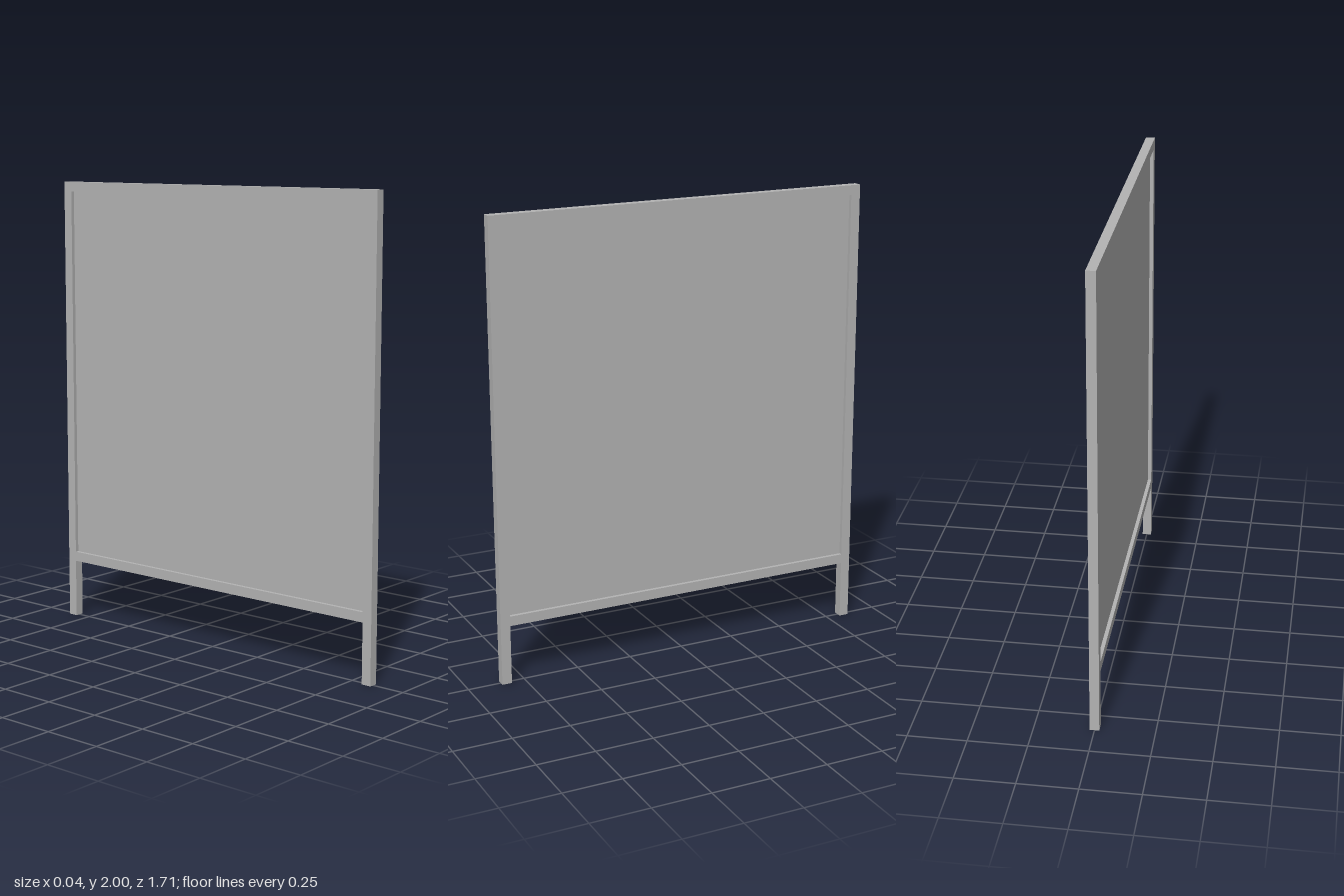
import * as THREE from 'three';

export function createModel() {
  const group = new THREE.Group();
  const grey = new THREE.MeshStandardMaterial({ color: 0xb3b3b3 });
  grey.name = 'grey';

  const height = 2, halfWidth = 0.855, bar = 0.043, depth = 0.04;
  const railBottom = 0.26;
  const innerWidth = 2 * (halfWidth - bar);

  function addBox(name, sx, sy, sz, y, z) {
    const mesh = new THREE.Mesh(new THREE.BoxGeometry(sx, sy, sz), grey);
    mesh.name = name;
    mesh.position.set(0, y, z);
    group.add(mesh);
  }

  // Upright posts, running down to form the feet
  for (const [name, side] of [['frontPost', 1], ['backPost', -1]]) {
    addBox(name, depth, height, bar, height / 2, side * (halfWidth - bar / 2));
  }

  // Horizontal rails between the posts
  addBox('topRail', depth, bar, innerWidth, height - bar / 2, 0);
  addBox('bottomRail', depth, bar, innerWidth, railBottom + bar / 2, 0);

  // Thin panel, recessed on both sides
  const panelBottom = railBottom + bar, panelTop = height - bar;
  addBox('panel', 0.008, panelTop - panelBottom, innerWidth, (panelTop + panelBottom) / 2, 0);

  return group;
}
